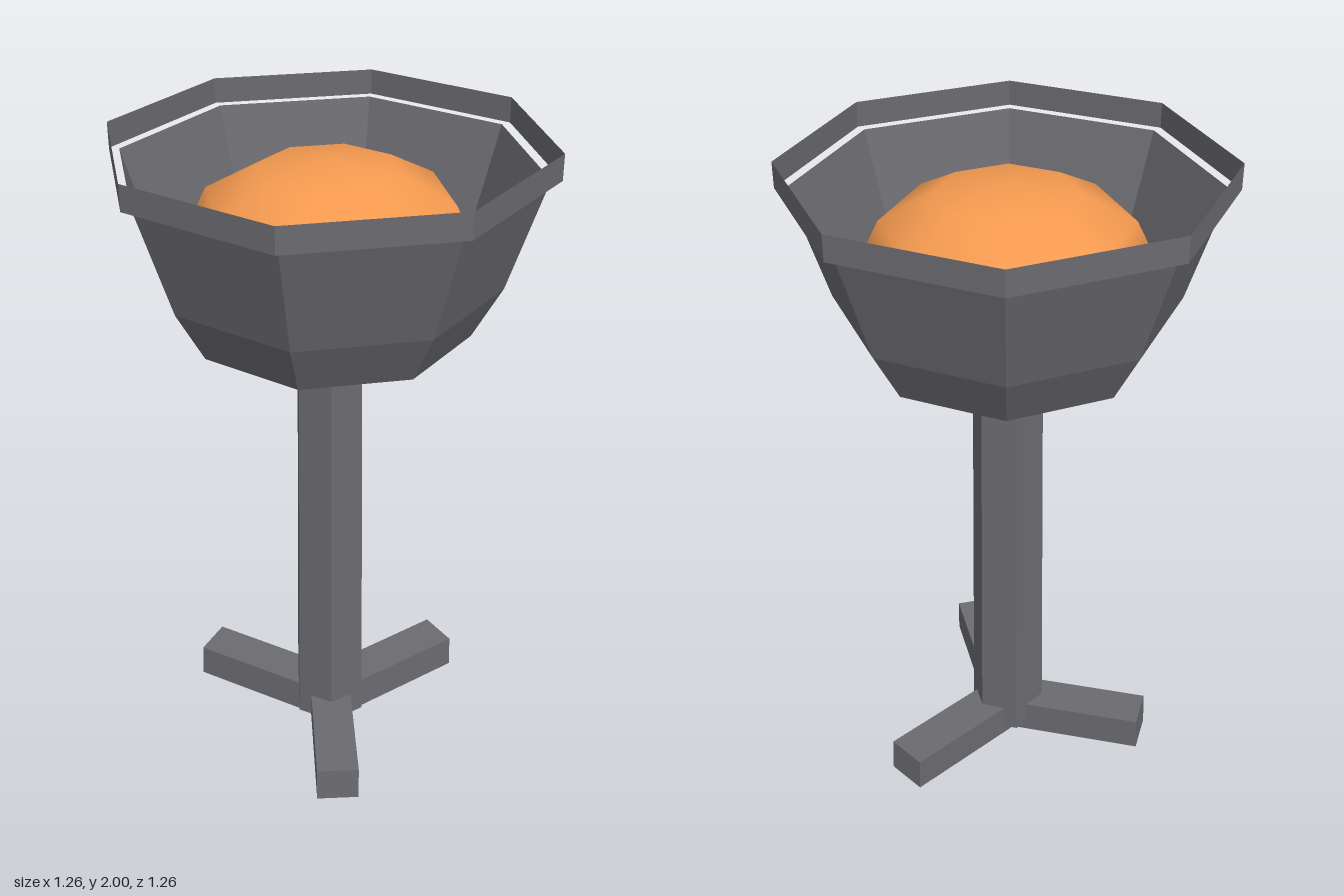
import * as THREE from 'three';

export function createModel() {
  const model = new THREE.Group();
  const metal = new THREE.MeshStandardMaterial({ color: 0x6b6b70, flatShading: true, side: THREE.DoubleSide });
  const glow = new THREE.MeshStandardMaterial({ color: 0xf59a50 });

  const add = (name, geometry, material, y = 0, parent = model) => {
    const mesh = new THREE.Mesh(geometry, material);
    mesh.name = name;
    mesh.position.y = y;
    parent.add(mesh);
    return mesh;
  };

  // Octagonal bowl with a closed floor and open top
  const profile = [[0, 1.445], [0.41, 1.445], [0.495, 1.6], [0.6, 1.925]];
  add('bowl', new THREE.LatheGeometry(profile.map(([r, y]) => new THREE.Vector2(r, y)), 8), metal);

  // Thin open band around the lip
  add('rim', new THREE.CylinderGeometry(0.63, 0.63, 0.075, 8, 1, true), metal, 1.9625);

  // Flattened, smooth ball of embers
  const embers = new THREE.SphereGeometry(0.41, 8, 6);
  embers.scale(1, 0.54, 1);
  add('embers', embers, glow, 1.72);

  // Tapered six-sided post, corners on the x axis
  const post = new THREE.CylinderGeometry(0.105, 0.12, 1.415, 6);
  post.rotateY(Math.PI / 6);
  add('post', post, metal, 0.7425);

  // Three feet, tilted slightly up towards their ends
  for (let i = 0; i < 3; i++) {
    const foot = new THREE.Group();
    foot.name = 'foot' + (i + 1);
    foot.rotation.y = i * Math.PI * 2 / 3;
    const beam = new THREE.BoxGeometry(0.46, 0.11, 0.13);
    beam.translate(0.23, 0.055, 0);
    beam.rotateZ(0.04);
    add('footBeam', beam, metal, 0, foot);
    model.add(foot);
  }
  return model;
}
